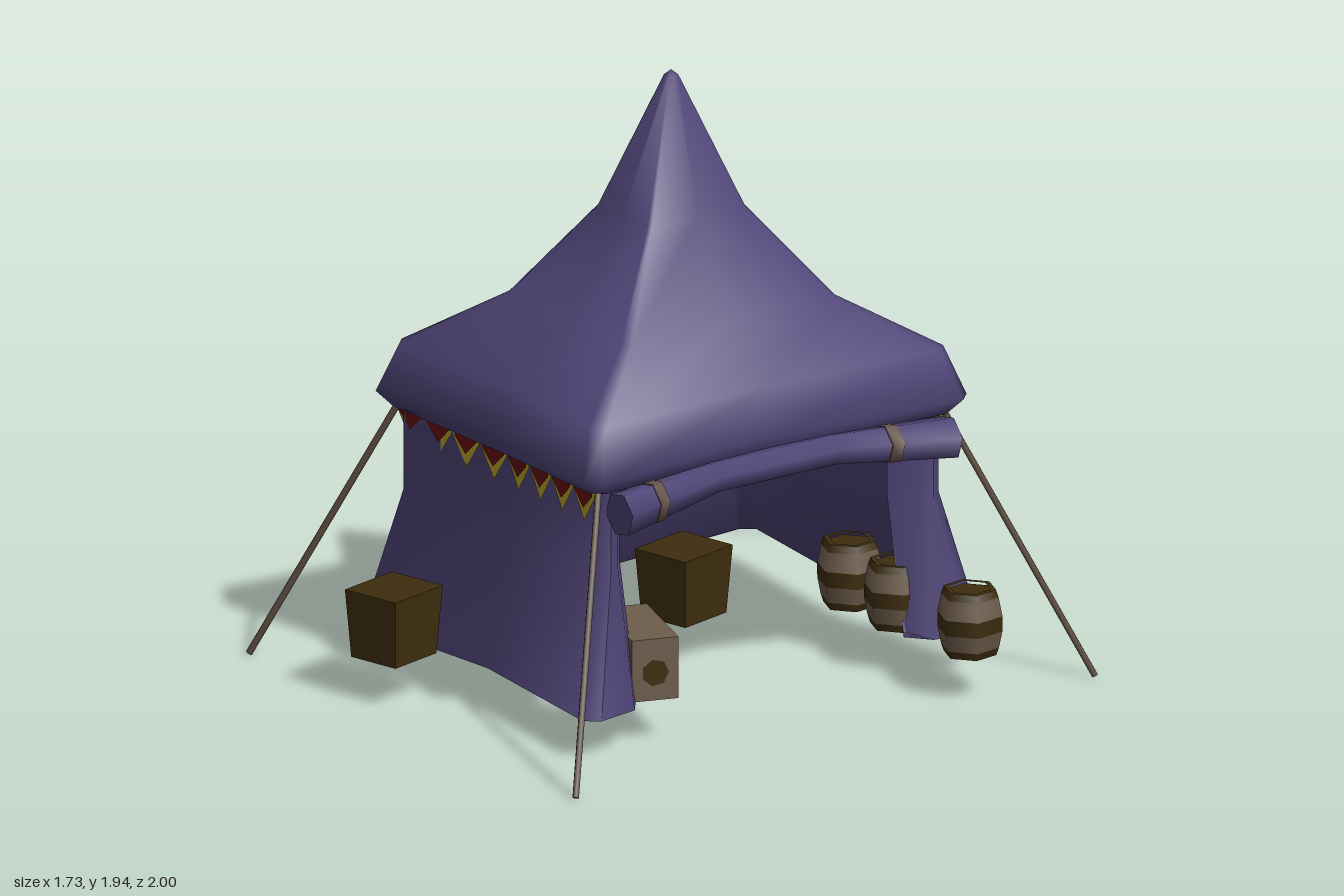
import * as THREE from 'three';
import { toCreasedNormals } from 'three/addons/utils/BufferGeometryUtils.js';

const material = (name, color, side = THREE.FrontSide) => {
  const m = new THREE.MeshStandardMaterial({ color, side });
  m.name = name;
  return m;
};

// Skin rows of points; each row may be closed into a loop
function loft(rows, closed, crease) {
  const n = rows[0].length, index = [];
  for (let r = 0; r < rows.length - 1; r++) {
    for (let i = 0; i < (closed ? n : n - 1); i++) {
      const j = (i + 1) % n, a = r * n + i, b = r * n + j;
      index.push(a, b, b + n, a, b + n, a + n);
    }
  }
  const g = new THREE.BufferGeometry();
  g.setAttribute('position', new THREE.Float32BufferAttribute(rows.flat(2), 3));
  g.setIndex(index);
  return toCreasedNormals(g, crease);
}

export function createModel() {
  const model = new THREE.Group();
  const cloth = material('purple cloth', 0x4f4577, THREE.DoubleSide);
  const red = material('red pennant', 0x6a0e12, THREE.DoubleSide);
  const yellow = material('yellow trim', 0xbca628, THREE.DoubleSide);
  const poleWood = material('pole wood', 0x5c4d40);
  const darkWood = material('dark wood', 0x3e2d0e);
  const paleWood = material('pale wood', 0x6e5d4c);
  const strapCloth = material('strap', 0x66544a);

  const add = (name, geometry, mat, parent = model) => {
    const mesh = new THREE.Mesh(geometry, mat);
    mesh.name = name;
    parent.add(mesh);
    return mesh;
  };

  const tent = new THREE.Group();
  tent.name = 'tent';
  tent.position.x = -0.01;
  model.add(tent);

  // Roof: rings with clipped corners, pinched in (and sagging) mid-side
  const roofRing = ([y, hx, hz, pinch, sag]) => {
    const mx = hx * pinch, mz = hz * (pinch + 0.015), c = hx * 0.07;
    return [[mx, y, 0], [hx, y, c - hz], [hx - c, y, -hz], [0, y - sag, -mz],
      [c - hx, y, -hz], [-hx, y, c - hz], [-mx, y, 0], [-hx, y, hz - c],
      [c - hx, y, hz], [0, y - sag, mz], [hx - c, y, hz], [hx, y, hz - c]];
  };
  add('roof', loft([
    [0.865, 0.51, 0.64, 0.93, 0.02], [0.84, 0.55, 0.685, 0.91, 0.025],
    [0.89, 0.588, 0.728, 0.9, 0.015], [1.045, 0.535, 0.675, 0.92, 0],
    [1.21, 0.32, 0.405, 0.95, 0], [1.5, 0.14, 0.185, 0.97, 0],
    [1.925, 0.014, 0.018, 1, 0], [1.94, 0.002, 0.002, 1, 0],
  ].map(roofRing), true, 1.5), cloth, tent);

  // Walls: a thick sheet around three sides, curling in beside the opening at +x
  const wallRow = ([y, hx, hz, mx, mz], t) => {
    const half = [[hx - 0.1, 0.51], [hx - 0.025 - t, 0.57], [hx - t, hz - t - 0.045],
      [hx - t - 0.035, hz - t], [0, mz - t], [t - hx + 0.035, hz - t], [t - hx, hz - t - 0.045]];
    return [
      ...half.map(([x, z]) => [x, y, -z]),
      [t - mx, y, 0],
      ...half.reverse().map(([x, z]) => [x, y, z]),
    ];
  };
  const foot = [0.132, 0.617, 0.76, 0.55, 0.7];
  const knee = [0.57, 0.53, 0.66, 0.5, 0.615];
  const eave = [0.87, 0.53, 0.66, 0.5, 0.615];
  const hem = [0.15, ...foot.slice(1)];
  add('walls', loft([
    wallRow(eave, 0.03), wallRow(knee, 0.03), wallRow(hem, 0.04),
    wallRow(foot, 0), wallRow(knee, 0), wallRow(eave, 0),
  ], false, 1.1), cloth, tent);

  // Pennants along the back, the closed side and the front
  const pennant = (w, top, side, tip) => new THREE.ShapeGeometry(new THREE.Shape([
    [-w, top], [-w, side], [0, tip], [w, side], [w, top],
  ].map(([x, y]) => new THREE.Vector2(x, y))));
  const trimShape = pennant(0.064, 0.855, 0.825, 0.733);
  const redShape = pennant(0.053, 0.855, 0.825, 0.775);
  const run = [[0.52, -0.66], [0, -0.615], [-0.53, -0.65], [-0.5, 0],
    [-0.53, 0.65], [0, 0.615], [0.52, 0.66]];
  for (let s = 0; s < run.length - 1; s++) {
    const [x0, z0] = run[s], [x1, z1] = run[s + 1];
    const count = Math.round(Math.hypot(x1 - x0, z1 - z0) / 0.131);
    for (let i = 0; i < count; i++) {
      const t = (i + 0.5) / count, flag = new THREE.Group();
      flag.name = 'pennant';
      flag.position.set(x0 + (x1 - x0) * t, -0.02 * (s % 2 ? 1 - t : t), z0 + (z1 - z0) * t);
      flag.rotation.y = Math.atan2(z0 - z1, x1 - x0);
      add('pennantTrim', trimShape, yellow, flag).position.z = 0.008;
      add('pennantCentre', redShape, red, flag).position.z = 0.012;
      tent.add(flag);
    }
  }

  // Rolled-up door, bending down and outwards at both ends: z, x, y, radius
  const rollPath = [[-0.635, 0.575, 0.778, 0.072], [-0.22, 0.515, 0.805, 0.053],
    [0.22, 0.515, 0.805, 0.053], [0.625, 0.578, 0.778, 0.072]];
  const hexRing = ([z, x, y, r]) => Array.from({ length: 6 }, (_, i) => {
    const a = (i * Math.PI) / 3 + 0.2;
    return [x + r * Math.cos(a), y + r * Math.sin(a), z];
  });
  const capped = (path) => {
    const shut = ([z, x, y]) => [z, x, y, 0];
    return loft([shut(path[0]), ...path, shut(path[path.length - 1])].map(hexRing), true, 1.15);
  };
  add('rolledDoor', capped(rollPath), cloth);
  for (const [z, a, b] of [[-0.42, 0, 1], [0.48, 2, 3]]) {
    const at = (zz) => {
      const t = (zz - rollPath[a][0]) / (rollPath[b][0] - rollPath[a][0]);
      const p = rollPath[a].map((v, k) => v + (rollPath[b][k] - v) * t);
      p[3] += 0.004;
      return p;
    };
    add('doorStrap', capped([at(z - 0.02), at(z + 0.02)]), strapCloth);
  }

  // Slanted corner poles
  for (const sx of [-1, 1]) for (const sz of [-1, 1]) {
    const base = new THREE.Vector3(sx * 0.855 - 0.005, 0.005, sz * 0.99);
    const head = new THREE.Vector3(sx * 0.525 - 0.01, 0.84, sz * 0.66);
    const dir = head.clone().sub(base);
    const pole = add('pole', new THREE.CylinderGeometry(0.011, 0.011, dir.length(), 6), poleWood);
    pole.position.copy(base).addScaledVector(dir, 0.5);
    pole.quaternion.setFromUnitVectors(new THREE.Vector3(0, 1, 0), dir.normalize());
  }

  // Six-sided barrels in alternating bands of wood
  const radius = (y) => 0.084 + 0.021 * (1 - ((y - 0.245) / 0.105) ** 2);
  const cuts = [0.14, 0.165, 0.218, 0.268, 0.328, 0.352];
  for (const [x, z] of [[0.765, -0.575], [0.415, -0.55], [0.17, -0.55]]) {
    const barrel = new THREE.Group();
    barrel.name = 'barrel';
    barrel.position.set(x, 0, z);
    barrel.rotation.y = 0.15;
    model.add(barrel);
    for (let i = 0; i < cuts.length - 1; i++) {
      const y0 = cuts[i], y1 = cuts[i + 1];
      add('barrelBand', new THREE.CylinderGeometry(radius(y1), radius(y0), y1 - y0, 6, 1, true),
        i % 2 ? paleWood : darkWood, barrel).position.y = (y0 + y1) / 2;
    }
    // Rim, recessed lid and base
    add('barrelRim', new THREE.RingGeometry(0.066, 0.084, 6, 1, Math.PI / 6)
      .rotateX(-Math.PI / 2), darkWood, barrel).position.y = 0.352;
    add('barrelLid', new THREE.CylinderGeometry(0.08, 0.08, 0.01, 6), darkWood, barrel)
      .position.y = 0.335;
    add('barrelBase', new THREE.CylinderGeometry(0.083, 0.083, 0.01, 6), darkWood, barrel)
      .position.y = 0.146;
  }

  // Dark crates, narrower at the foot
  const crateShape = new THREE.BoxGeometry(0.205, 0.22, 0.225);
  const p = crateShape.attributes.position;
  for (let i = 0; i < p.count; i++) {
    if (p.getY(i) < 0) p.setXYZ(i, p.getX(i) * 0.87, p.getY(i), p.getZ(i) * 0.87);
  }
  crateShape.computeVertexNormals();
  for (const [x, z] of [[-0.272, 0.866], [-0.06, -0.085]]) {
    const crate = add('crate', crateShape, darkWood);
    crate.position.set(x, 0.246, z);
    crate.rotation.y = 0.24;
  }

  // Long pale chest with dark worn patches, turned a little
  const chest = new THREE.Group();
  chest.name = 'chest';
  chest.position.set(0.405, 0.24, 0.423);
  chest.rotation.y = -0.33;
  model.add(chest);
  add('chestBody', new THREE.BoxGeometry(0.33, 0.2, 0.15), paleWood, chest);
  const patch = (x, y, z, w, h) =>
    add('chestPatch', new THREE.BoxGeometry(w, h, 0.006), darkWood, chest).position.set(x, y, z);
  for (const s of [-1, 1]) {
    const blob = add('chestEndPatch', new THREE.CircleGeometry(0.044, 7), darkWood, chest);
    blob.position.set(s * 0.167, -0.01, 0);
    blob.rotation.y = (s * Math.PI) / 2;
    patch(0.01, 0.035, s * 0.075, 0.21, 0.035);
    patch(-0.01, -0.045, s * 0.075, 0.2, 0.045);
  }
  return model;
}
